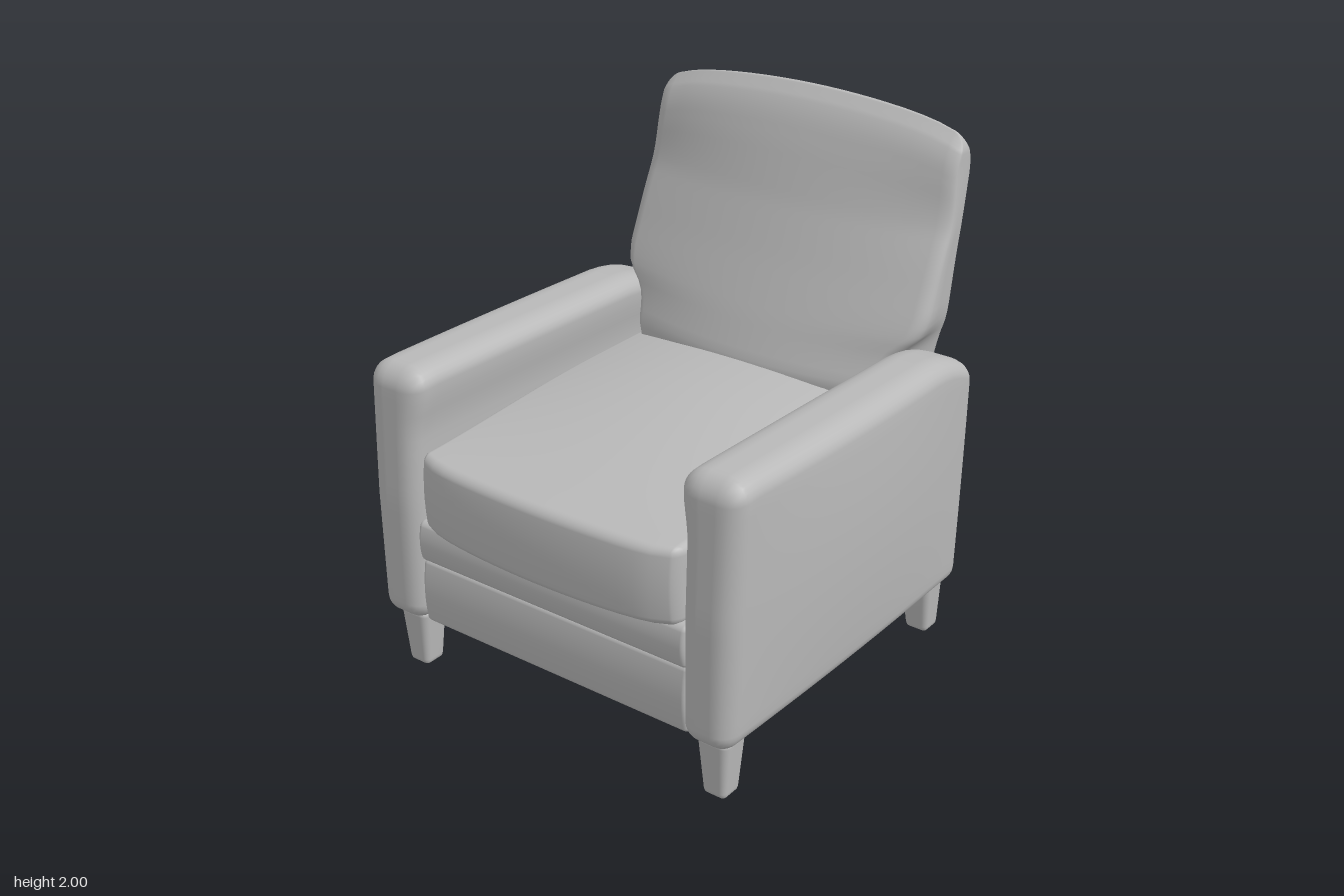
import * as THREE from 'three';
import { mergeVertices } from 'three/addons/utils/BufferGeometryUtils.js';

const upholstery = new THREE.MeshStandardMaterial({ color: 0xb8b8b8 });
upholstery.name = 'grey upholstery';

// Piecewise-linear lookup in [[input, output], ...]
function curve(points, t) {
  if (t <= points[0][0]) return points[0][1];
  for (let i = 1; i < points.length; i++) {
    const [a, va] = points[i - 1], [b, vb] = points[i];
    if (t <= b) return va + (vb - va) * (t - a) / (b - a);
  }
  return points[points.length - 1][1];
}

// Finely divided rounded box (half sizes h, radius r), reshaped by deform(p)
function softBox(name, h, r, segs, deform) {
  const geo = new THREE.BoxGeometry(2, 2, 2, ...segs);
  geo.deleteAttribute('uv');
  geo.deleteAttribute('normal');
  const pos = geo.attributes.position;
  const k = 3, p = new THREE.Vector3(), inner = new THREE.Vector3();
  // three grid lines span each rounded edge, the rest are even
  const place = (t, half, n) => {
    const i = Math.round((t + 1) / 2 * n);
    const edge = Math.min(i, n - i);
    if (edge < k) return Math.sign(t) * (half - r + r * Math.tan((k - edge) / k * Math.PI / 4));
    return (half - r) * (2 * (i - k) / (n - 2 * k) - 1);
  };
  for (let i = 0; i < pos.count; i++) {
    p.set(place(pos.getX(i), h[0], segs[0]), place(pos.getY(i), h[1], segs[1]), place(pos.getZ(i), h[2], segs[2]));
    inner.set(...p.toArray().map((v, a) => THREE.MathUtils.clamp(v, r - h[a], h[a] - r)));
    p.sub(inner).normalize().multiplyScalar(r).add(inner);
    deform(p);
    pos.setXYZ(i, p.x, p.y, p.z);
  }
  const merged = mergeVertices(geo, 1e-5);
  merged.computeVertexNormals();
  const mesh = new THREE.Mesh(merged, upholstery);
  mesh.name = name;
  return mesh;
}

// Arm with bulging outer side and a top that droops at the rear
function arm(side) {
  const top = [[-0.73, 1.08], [-0.66, 1.135], [-0.56, 1.18], [-0.45, 1.2], [0.1, 1.215], [0.7, 1.23], [0.8, 1.215]];
  return softBox(side > 0 ? 'leftArm' : 'rightArm', [0.106, 0.5, 0.76], 0.07, [14, 24, 30], (p) => {
    const out = p.x * side / 0.106, v = p.y / 0.5, w = p.z / 0.76;
    const bulge = out > 0 ? 0.038 * out * (1 - w * w) * (1 - 0.7 * v * v) : 0;
    const lip = out < 0 ? 0.022 * out * THREE.MathUtils.smoothstep(v, 0.5, 0.85) : 0;
    const flare = out > 0 ? 0.01 * out * v : 0;
    const low = 0.215 + 0.008 * w;
    p.x = side * (0.691 + p.x * side + bulge + lip + flare);
    p.z += 0.043 - 0.02 * Math.max(0, w) * Math.max(0, v);
    p.y = low + (curve(top, p.z) - low) * (v + 1) / 2;
  });
}

// Reclined back: narrow between the arms, wider above, arched at the top
function backrest() {
  const rear = [[0.22, -0.715], [0.6, -0.725], [1.1, -0.765], [1.5, -0.805], [1.87, -0.846], [1.92, -0.842], [1.96, -0.828], [2, -0.8]];
  const front = [[0.22, -0.64], [0.5, -0.6], [0.7, -0.4], [1.03, -0.345], [1.2, -0.415], [1.4, -0.505], [1.6, -0.59],
    [1.8, -0.66], [1.9, -0.7], [1.95, -0.73], [2, -0.775]];
  const frontWidth = [[0.22, 0.58], [1.0, 0.55], [1.1, 0.565], [1.16, 0.59], [1.2, 0.635], [1.24, 0.668], [1.3, 0.68], [1.6, 0.675], [1.9, 0.662]];
  const rearWidth = [[0.22, 0.6], [1.0, 0.61], [1.25, 0.645], [1.9, 0.662]];
  return softBox('backrest', [0.66, 0.89, 0.16], 0.05, [24, 60, 14], (p) => {
    const u = p.x / 0.66, t = p.z / 0.16, y = p.y + 1.11;
    const depth = (t + 1) / 2;
    const width = THREE.MathUtils.lerp(curve(rearWidth, y), curve(frontWidth, y), Math.min(1, depth * 1.4));
    const wrap = 0.085 * u * u * THREE.MathUtils.smoothstep(y, 0.6, 1.0);
    const zFront = curve(front, y) - wrap * (1 - 0.8 * THREE.MathUtils.smoothstep(y, 1.6, 2));
    p.x = u * width;
    p.y = y - (0.06 * u * u + 0.03 * u ** 8) * THREE.MathUtils.smoothstep(y, 1.4, 2);
    p.z = THREE.MathUtils.lerp(curve(rear, y), zFront, depth);
  });
}

// Seat cushion with a crowned top and a bowed front
function seatCushion() {
  return softBox('seatCushion', [0.57, 0.145, 0.65], 0.03, [24, 14, 28], (p) => {
    const u = p.x / 0.57, v = p.y / 0.145, w = p.z / 0.65;
    const crown = (1 - u * u) * 0.07 + 0.04;
    const rise = v > 0 ? v * crown * THREE.MathUtils.smoothstep(1 - w, -0.2, 1.5) : 0;
    const sag = v < 0 ? 0.015 * v * (1 - u * u) : 0;
    p.y = 0.782 + p.y + rise + sag;
    if (w > 0) p.z += w * (0.035 * (1 - u * u) + 0.012 * (1 - v * v) - 0.045 * u ** 10);
    p.z += 0.152;
  });
}

// Softly padded horizontal front panel
function frontPanel(name, y0, y1, z) {
  const half = (y1 - y0) / 2;
  return softBox(name, [0.6, half, 0.05], 0.02, [10, 14, 8], (p) => {
    const v = p.y / half;
    if (p.z > 0) p.z += 0.015 * (1 - v * v) * p.z / 0.05;
    p.y += (y0 + y1) / 2;
    p.z += z - 0.065;
  });
}

// Tapered leg, its foot shifted by rake along z
function leg(name, x, z, rake) {
  return softBox(name, [0.064, 0.125, 0.064], 0.028, [8, 8, 8], (p) => {
    const t = THREE.MathUtils.clamp(p.y / 0.21 + 0.5, 0, 1);
    const s = 0.74 + 0.26 * t;
    p.x = x + p.x * s;
    p.z = z + p.z * s + rake * (1 - t);
    p.y = Math.max(0, p.y + 0.115);
  });
}

export function createModel() {
  const group = new THREE.Group();
  group.name = 'armchair';
  group.add(backrest(), seatCushion());
  group.add(frontPanel('lowerFrontPanel', 0.225, 0.492, 0.775));
  group.add(frontPanel('upperFrontPanel', 0.485, 0.65, 0.785));

  // Hidden frame, set a little above the lower edge
  const frame = new THREE.Mesh(new THREE.BoxGeometry(1.2, 0.38, 1.38), upholstery);
  frame.name = 'seatFrame';
  frame.position.set(0, 0.45, 0.02);
  group.add(frame);

  for (const side of [1, -1]) {
    const label = side > 0 ? 'Left' : 'Right';
    group.add(arm(side));
    group.add(leg('front' + label + 'Leg', side * 0.685, 0.688, 0));
    group.add(leg('rear' + label + 'Leg', side * 0.685, -0.612, -0.02));
  }
  return group;
}
